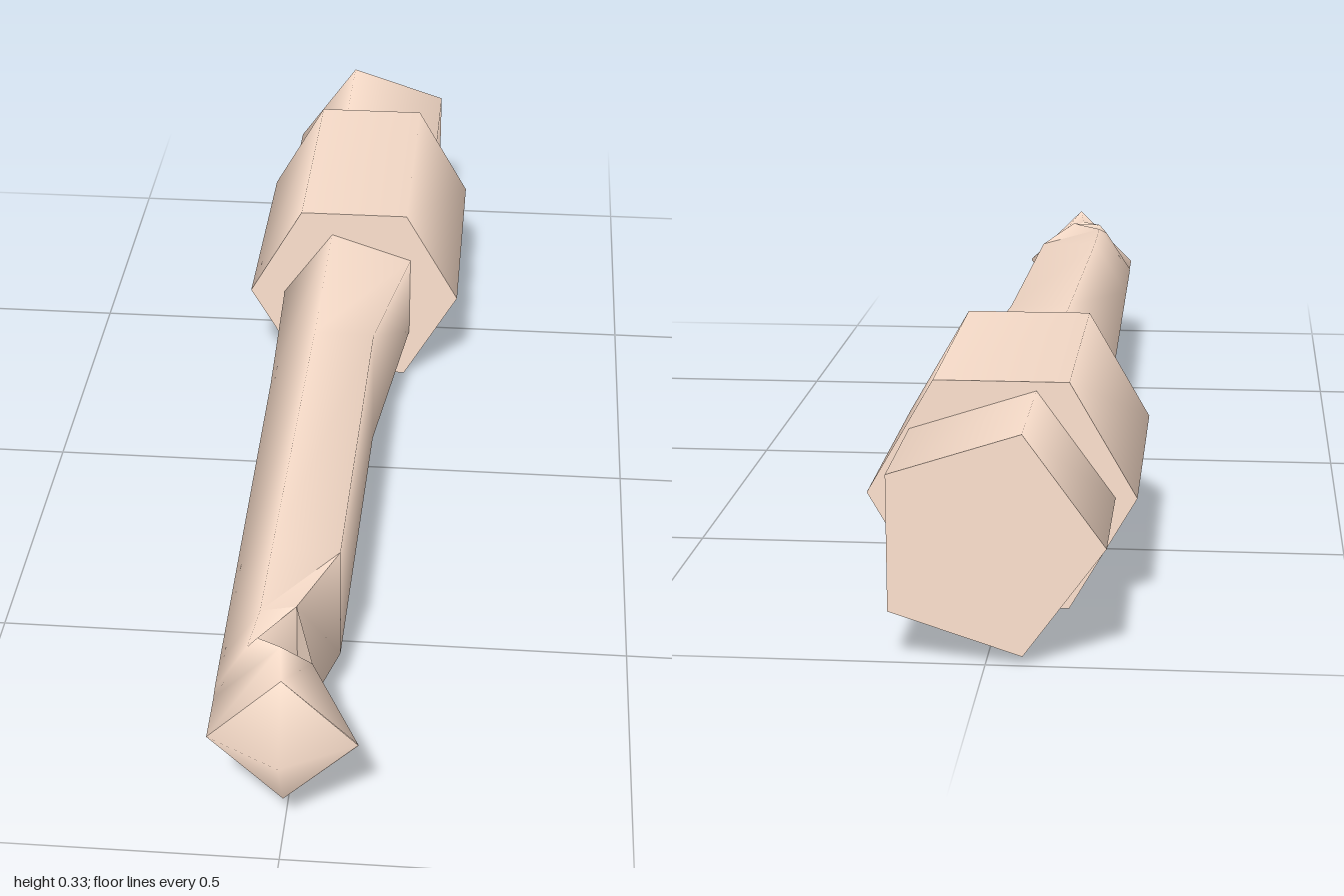
import * as THREE from 'three';
import { toCreasedNormals } from 'three/addons/utils/BufferGeometryUtils.js';

const AXIS_Y = 0.168;
const material = new THREE.MeshStandardMaterial({ color: 0xfde1ce });
const thinMaterial = material.clone();
thinMaterial.side = THREE.DoubleSide;

// Prism along z, with one corner pointing to -x
function prismGeometry(rFront, rBack, sides, zBack, zFront, open = false) {
  const geometry = new THREE.CylinderGeometry(
    rFront, rBack, zFront - zBack, sides, 1, open, -Math.PI / 2);
  geometry.rotateX(Math.PI / 2);
  geometry.translate(0, AXIS_Y, (zBack + zFront) / 2);
  return geometry;
}

function part(name, geometry, partMaterial = material) {
  const mesh = new THREE.Mesh(geometry, partMaterial);
  mesh.name = name;
  return mesh;
}

// Five-cornered shaft lofted from sections mirrored above and below its axis:
// z, ridge x, shoulder x y, rim x y
function shaftGeometry() {
  const sections = [
    [-0.325, -0.130, -0.040, 0.124, 0.105, 0.076],
    [0.00, -0.120, -0.042, 0.108, 0.060, 0.105],
    [0.62, -0.112, -0.048, 0.097, 0.055, 0.096],
    [0.775, -0.110, -0.048, 0.099, 0.005, 0.110],
    [0.835, -0.109, -0.060, 0.080, -0.045, 0.097],
    [0.855, -0.108, -0.010, 0.099, 0.035, 0.072],
    [0.94, -0.107, 0.000, 0.107, 0.107, 0.001],
  ];
  const positions = [];
  const indices = [];
  const n = 5;
  for (const [z, lx, tx, ty, ux, uy] of sections) {
    const ring = [[lx, 0], [tx, ty], [ux, uy], [ux, -uy], [tx, -ty]];
    for (const [x, y] of ring) positions.push(x, AXIS_Y + y, z);
  }
  for (let s = 0; s < sections.length - 1; s++) {
    for (let i = 0; i < n; i++) {
      const a = s * n + i;
      const b = s * n + (i + 1) % n;
      indices.push(a, a + n, b, b, a + n, b + n);
    }
  }
  const geometry = new THREE.BufferGeometry();
  geometry.setAttribute('position', new THREE.Float32BufferAttribute(positions, 3));
  geometry.setIndex(indices);
  return toCreasedNormals(geometry, 1.65);
}

// Thin wall closing the outer side of the triangular through-notch
function notchWallGeometry() {
  const geometry = new THREE.BufferGeometry();
  const corners = [
    [0.005, 0.110, 0.775], [0.005, -0.110, 0.775],
    [0.035, -0.072, 0.855], [0.035, 0.072, 0.855],
  ];
  const positions = corners.flatMap(([x, y, z]) => [x, AXIS_Y + y, z]);
  geometry.setAttribute('position', new THREE.Float32BufferAttribute(positions, 3));
  geometry.setIndex([0, 2, 1, 0, 3, 2]);
  geometry.computeVertexNormals();
  return geometry;
}

export function createModel() {
  const model = new THREE.Group();
  model.name = 'cuttingTool';
  model.add(
    part('rearShank', prismGeometry(0.162, 0.162, 5, -1, -0.773)),
    part('hexCollar', prismGeometry(0.193, 0.193, 6, -0.773, -0.325)),
    part('notchedShaft', shaftGeometry(), thinMaterial),
    part('notchWall', notchWallGeometry(), thinMaterial),
    part('pointedTip', toCreasedNormals(prismGeometry(0, 0.107, 4, 0.94, 1, true), 1.7)),
  );
  return model;
}
